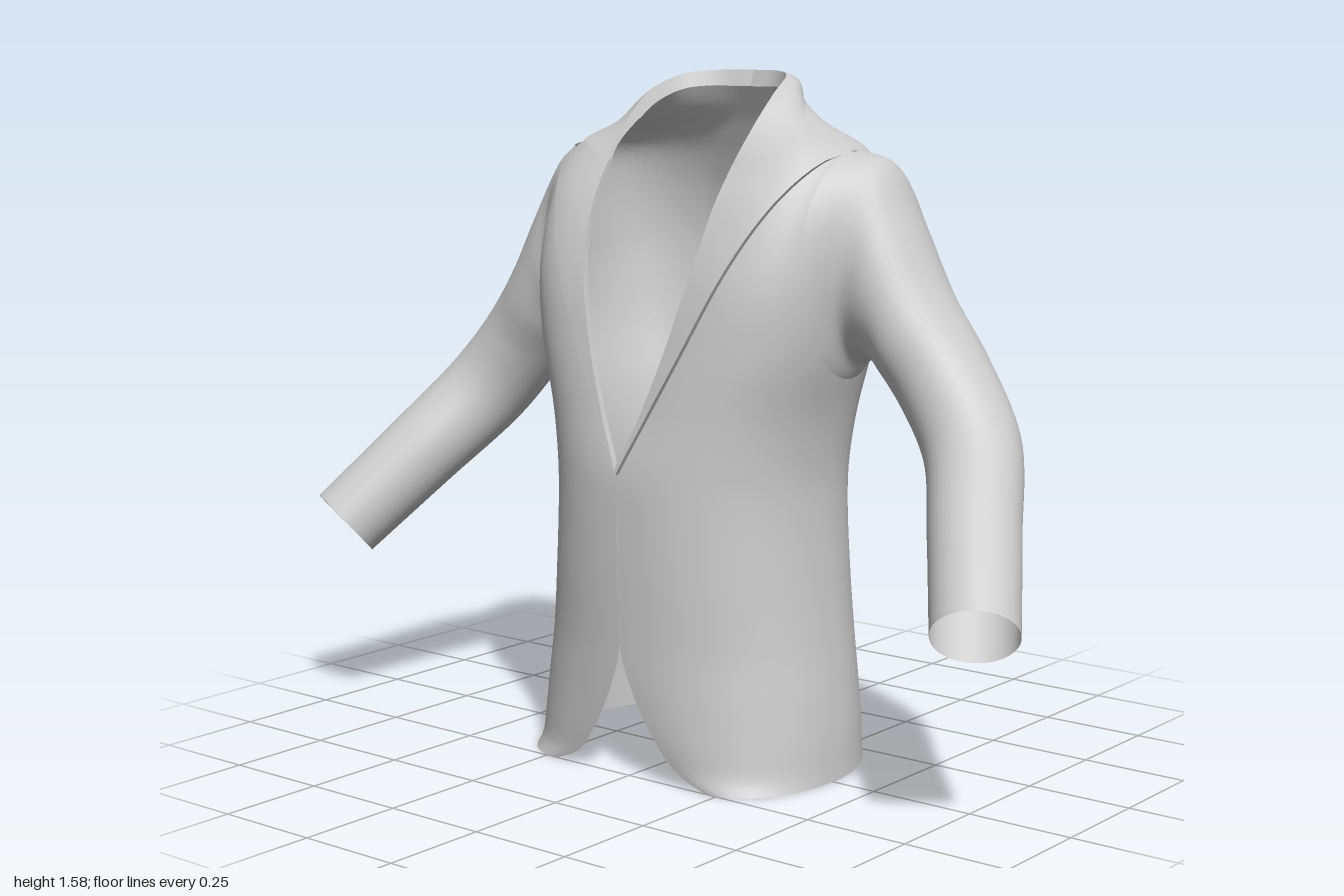
import * as THREE from 'three';
import { mergeVertices, toCreasedNormals } from 'three/addons/utils/BufferGeometryUtils.js';

const V = (x, y, z) => new THREE.Vector3(x, y, z);

// Torso slices: y, front edge x, front edge z, half width, side z, back z, roundness
const SLICES = [
  [0, .22, .25, .39, -.02, -.312, .92],
  [.03, .15, .256, .388, -.02, -.312, .92],
  [.1, .09, .267, .384, -.02, -.311, .92],
  [.2, .035, .276, .373, -.02, -.309, .91],
  [.3, .002, .281, .359, -.02, -.307, .9],
  [.45, .001, .286, .342, -.02, -.305, .89],
  [.6, .001, .288, .33, -.02, -.306, .88],
  [.7, .001, .286, .329, -.02, -.31, .86],
  [.82, .053, .266, .345, -.03, -.314, .83],
  [.97, .108, .243, .383, -.04, -.317, .79],
  [1.1, .145, .22, .4, -.05, -.317, .75],
  [1.2, .165, .19, .404, -.06, -.314, .74],
  [1.3, .175, .145, .404, -.07, -.298, .76],
  [1.38, .18, .09, .392, -.08, -.275, .8],
  [1.42, .18, .06, .355, -.09, -.26, .85],
  [1.46, .18, .022, .262, -.1, -.245, .9],
  [1.5, .178, -.02, .206, -.12, -.226, 1],
  [1.54, .16, -.09, .172, -.13, -.207, 1],
];
const BACK_FLAT = 1.06; // the back is swelled by this and cut off flat

// Smooth (Hermite) lookup of every column at height y
function sample(keys, y) {
  let i = 0;
  while (i < keys.length - 2 && y > keys[i + 1][0]) i++;
  const a = keys[i], b = keys[i + 1], p = keys[i - 1] ?? a, n = keys[i + 2] ?? b;
  const h = b[0] - a[0], t = Math.min(1, Math.max(0, (y - a[0]) / h));
  return a.map((_, k) => {
    const ma = h * (b[k] - p[k]) / (b[0] - p[0]), mb = h * (n[k] - a[k]) / (n[0] - a[0]);
    const t2 = t * t, t3 = t2 * t;
    return (2 * t3 - 3 * t2 + 1) * a[k] + (t3 - 2 * t2 + t) * ma + (3 * t2 - 2 * t3) * b[k] + (t3 - t2) * mb;
  });
}

// Point on the torso: u runs -1..1 from one front edge, round the back, to the other
function torsoPoint(u, y) {
  const [, xE, zE, w, zc, zB, q] = sample(SLICES, y);
  const side = u < 0 ? 1 : -1, s = (1 - Math.abs(u)) * Math.PI;
  const sn = Math.pow(Math.max(0, Math.sin(s)), q), cs = Math.pow(Math.abs(Math.cos(s)), q);
  const front = s < Math.PI / 2;
  const x = front ? xE + (w - xE) * sn : w * sn;
  const z = zc + (front ? (zE - zc) * cs : (zB - zc) * Math.min(1, BACK_FLAT * cs));
  const lift = Math.max(0, 1 - y / .2) * .022 * Math.max(0, -Math.cos(s));
  return V(side * x, y + lift, z);
}

// Other coordinate of a rounded quarter, given one coordinate as a 0..1 fraction
function quarter(f, q) {
  const c = Math.pow(Math.min(1, Math.max(0, f)), 1 / q);
  return Math.pow(Math.sqrt(1 - c * c), q);
}

// Depth of the torso front at a given x, and width of its side at a given z
function frontZ(x, y) {
  const [, xE, zE, w, zc, , q] = sample(SLICES, y);
  return zc + (zE - zc) * quarter((x - xE) / (w - xE), q);
}
function sideX(y, z) {
  const [, xE, zE, w, zc, zB, q] = sample(SLICES, y);
  return z > zc
    ? xE + (w - xE) * quarter((z - zc) / (zE - zc), q)
    : w * quarter((z - zc) / (zB - zc) / BACK_FLAT, q);
}

// Grid surface from a rule; u and v run 0..1
function surface(fn, nu, nv, crease) {
  const pos = [], idx = [];
  for (let j = 0; j <= nv; j++)
    for (let i = 0; i <= nu; i++) {
      pos.push(...fn(i / nu, j / nv).toArray());
      if (i < nu && j < nv) {
        const a = j * (nu + 1) + i, b = a + nu + 1;
        idx.push(a, a + 1, b, a + 1, b + 1, b);
      }
    }
  let g = new THREE.BufferGeometry();
  g.setAttribute('position', new THREE.Float32BufferAttribute(pos, 3));
  g.setIndex(idx);
  g = mergeVertices(g, 1e-5);
  if (crease) return toCreasedNormals(g, crease);
  g.computeVertexNormals();
  return g;
}

// Sleeve rings after the armhole: centre, facing direction, half height, half depth
const RINGS = [
  [V(.42, 1.165, -.1), V(1, -.12, 0), .224, .142],
  [V(.477, 1.11, -.097), V(1, -.22, 0), .167, .131],
  [V(.535, 1.02, -.093), V(.86, -.5, 0), .118, .124],
  [V(.61, .92, -.09), V(.62, -.78, .05), .107, .114],
  [V(.708, .79, -.05), V(.5, -.75, .36), .106, .108],
  [V(.806, .637, .09), V(.4, -.66, .62), .099, .099],
  [V(.912, .468, .25), V(.4, -.66, .64), .093, .093],
].map(([centre, facing, ra, rb]) => {
  const n = facing.normalize();
  const b = V(0, 0, 1).addScaledVector(n, -n.z).normalize();
  return { centre, a: b.clone().cross(n).multiplyScalar(ra), b: b.multiplyScalar(rb) };
});

// Each lengthwise line starts on the torso at the armhole and runs through the rings
function sleevePoint(u, v) {
  const t = (u === 1 ? 0 : u) * Math.PI * 2, c = Math.cos(t), s = Math.sin(t);
  const y = 1.158 + .254 * c, z = -.09 + .2 * s;
  const line = [V(sideX(y, z), y, z)];
  for (const r of RINGS) line.push(r.centre.clone().addScaledVector(r.a, c).addScaledVector(r.b, s));
  return new THREE.CatmullRomCurve3(line).getPoint(v);
}

// Lapel outer edge: y, x
const LAPEL = [[.7, .004], [.84, .077], [.95, .136], [1.05, .187], [1.24, .28], [1.33, .328], [1.41, .378]];
const LAPEL_COLS = 14;

function lapelPoint(u, v) {
  const edge = u === 0 || u === 1;
  const k = Math.min(1, Math.max(0, (u * LAPEL_COLS - 1) / (LAPEL_COLS - 2)));
  const y = .7 + (.68 + .03 * k) * v;
  const inner = sample(SLICES, y)[1] - .003, outer = Math.max(inner + .002, sample(LAPEL, y)[1]);
  const x = inner + (outer - inner) * k;
  return V(x, y, frontZ(x, y) + (edge ? -.003 : .012));
}

// Collar: outer fall edge and upper fold line, front to centre back
const collarFall = new THREE.CatmullRomCurve3([
  V(.305, 1.42, .03), V(.262, 1.465, -.05), V(.208, 1.515, -.12),
  V(.13, 1.53, -.2), V(0, 1.532, -.228)]);
const collarFold = new THREE.CatmullRomCurve3([
  V(.178, 1.38, .102), V(.183, 1.46, .036), V(.178, 1.53, -.045),
  V(.15, 1.568, -.13), V(.085, 1.577, -.187), V(0, 1.578, -.207)]);

function collarPoint(u, v) {
  const fold = collarFold.getPoint(v), fall = collarFall.getPoint(v);
  if (u > .75) {
    const k = (u - .75) * 4 * Math.min(1, v * 3);
    return V(fold.x * (1 - .05 * k), fold.y - .035 * k, fold.z + .012 * k * v);
  }
  const k = u / .75, p = fall.lerp(fold, k);
  const bulge = .012 * Math.sin(Math.PI * k) * Math.min(1, v * 3);
  p.add(V(bulge * .6, bulge * .7, -bulge * v));
  // the front part lies on the chest
  p.z += Math.max(0, frontZ(p.x, p.y) + .012 - p.z) * Math.max(0, 1 - 2.5 * v);
  return p;
}

// Vent flap lying on the back, with a step along the centre line
function ventPoint(u, v) {
  const p = torsoPoint(-.03 * Math.max(0, u - .25), .38 * v);
  p.z += u === 0 ? .002 : -.008 * (1 - u);
  return p;
}

export function createModel() {
  const cloth = new THREE.MeshStandardMaterial({ color: 0xcccccc, side: THREE.DoubleSide });
  cloth.name = 'light grey cloth';
  const model = new THREE.Group();
  model.name = 'jacket';
  const add = (name, geometry) => {
    const mesh = new THREE.Mesh(geometry, cloth);
    mesh.name = name;
    model.add(mesh);
  };

  // Body shell, open at the front neckline and cut away at the hem
  add('body', surface((u, v) => torsoPoint(u * 2 - 1, 1.54 * v), 96, 90));
  add('backVent', surface(ventPoint, 4, 16, .7));

  // Mirrored parts
  for (const side of [1, -1]) {
    const name = side > 0 ? 'left' : 'right';
    const flip = fn => (u, v) => {
      const p = fn(side > 0 ? u : 1 - u, v);
      p.x *= side;
      return p;
    };
    add(name + 'Sleeve', surface(flip(sleevePoint), 48, 56));
    add(name + 'Lapel', surface(flip(lapelPoint), LAPEL_COLS, 40, .7));
    add(name + 'Collar', surface(flip(collarPoint), 12, 36, .8));
  }
  return model;
}
